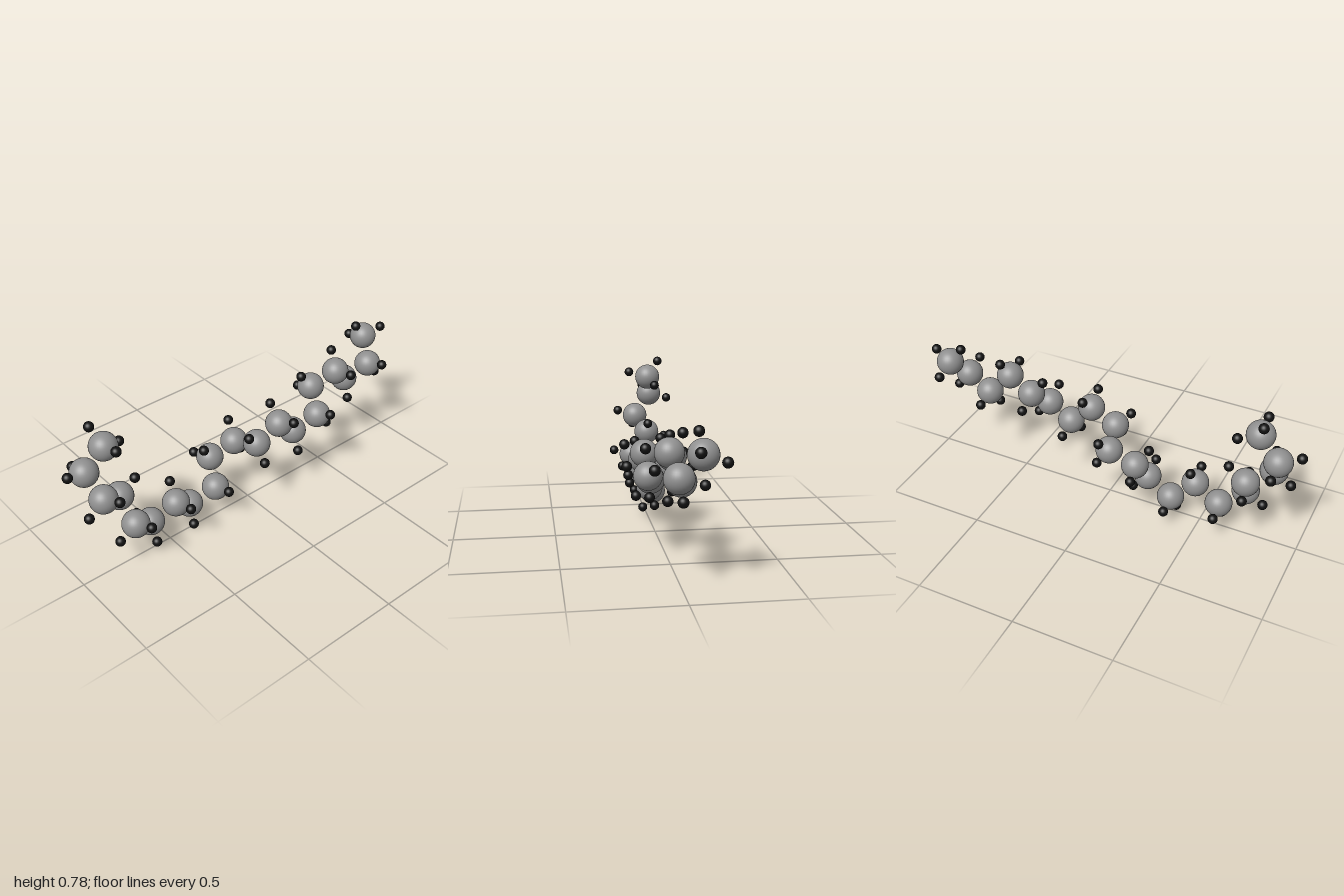
import * as THREE from 'three';

const CHAIN_RADIUS = 0.068;
const SIDE_RADIUS = 0.0245;
const SIDE_DISTANCE = 0.108;

// Centres of the large spheres, from one end of the chain to the other
const CHAIN = [
  [-0.78, 0.67, -0.065], [-0.88, 0.56, -0.085], [-0.845, 0.44, 0], [-0.73, 0.365, -0.053],
  [-0.71, 0.24, 0.035], [-0.595, 0.155, -0.015], [-0.46, 0.215, 0.01], [-0.35, 0.12, -0.034],
  [-0.21, 0.175, 0], [-0.175, 0.295, -0.085], [-0.03, 0.33, -0.073], [0.003, 0.38, 0.065],
  [0.14, 0.44, 0.073], [0.25, 0.337, 0.057], [0.388, 0.39, 0.087], [0.435, 0.49, -0.015],
  [0.575, 0.54, 0.018], [0.68, 0.435, -0.018], [0.82, 0.485, 0.015], [0.868, 0.595, -0.077],
].map((p) => new THREE.Vector3(...p));

const towards = (from, to) => to.clone().sub(from).normalize();

// Two small spheres on an inner link, spread tetrahedrally away from its neighbours
function innerDirections(prev, here, next) {
  const a = towards(here, prev);
  const b = towards(here, next);
  const out = a.clone().add(b).normalize().negate();
  const side = a.cross(b).normalize();
  const half = THREE.MathUtils.degToRad(54.5);
  return [1, -1].map((s) => out.clone().multiplyScalar(Math.cos(half))
    .addScaledVector(side, s * Math.sin(half)));
}

// Three small spheres on an end link, staggered against the following link
function endDirections(end, next, afterNext) {
  const axis = towards(next, end);
  const side = towards(afterNext, next).projectOnPlane(axis).normalize();
  return [0, 1, 2].map((i) => side.clone()
    .applyAxisAngle(axis, i * 2 * Math.PI / 3)
    .multiplyScalar(Math.sqrt(8) / 3)
    .addScaledVector(axis, 1 / 3));
}

export function createModel() {
  const model = new THREE.Group();
  model.name = 'moleculeChain';

  const chainMaterial = new THREE.MeshStandardMaterial({ color: 0x909090 });
  const sideMaterial = new THREE.MeshStandardMaterial({ color: 0x111111 });
  const chainGeometry = new THREE.SphereGeometry(CHAIN_RADIUS, 32, 20);
  const sideGeometry = new THREE.SphereGeometry(SIDE_RADIUS, 24, 16);

  const last = CHAIN.length - 1;
  CHAIN.forEach((centre, i) => {
    const unit = new THREE.Group();
    unit.name = `chainUnit${i + 1}`;
    unit.position.copy(centre);

    // Large chain sphere
    const core = new THREE.Mesh(chainGeometry, chainMaterial);
    core.name = 'carbonAtom';
    unit.add(core);

    // Small spheres around it
    let directions;
    if (i === 0) directions = endDirections(centre, CHAIN[1], CHAIN[2]);
    else if (i === last) directions = endDirections(centre, CHAIN[last - 1], CHAIN[last - 2]);
    else directions = innerDirections(CHAIN[i - 1], centre, CHAIN[i + 1]);
    for (const direction of directions) {
      const side = new THREE.Mesh(sideGeometry, sideMaterial);
      side.name = 'hydrogenAtom';
      side.position.copy(direction).multiplyScalar(SIDE_DISTANCE);
      unit.add(side);
    }
    model.add(unit);
  });
  return model;
}
